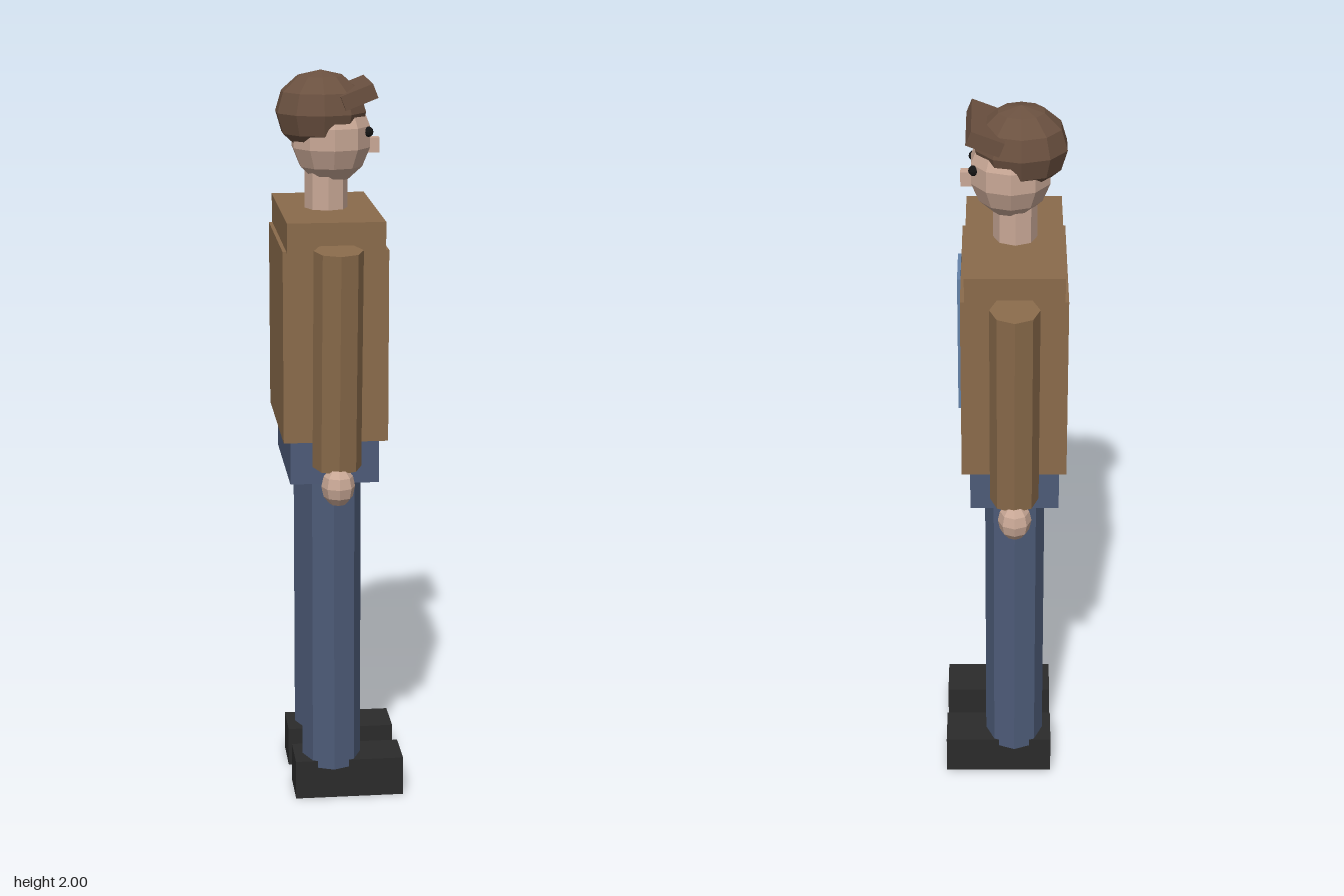
import * as THREE from 'three';

const mat = (name, color) => {
  const m = new THREE.MeshStandardMaterial({ color, flatShading: true });
  m.name = name;
  return m;
};

export function createModel() {
  const model = new THREE.Group();
  model.name = 'standingMan';

  const coat = mat('brown coat', 0x8a6b4b);
  const denim = mat('dark denim', 0x4d5b78);
  const shirt = mat('blue shirt', 0x6482a8);
  const skin = mat('skin', 0xc9a896);
  const capBrown = mat('cap brown', 0x6b5140);
  const black = mat('shoe black', 0x2b2b2b);
  const eyeBlack = mat('eye black', 0x151515);

  const add = (name, geometry, material, x, y, z) => {
    const mesh = new THREE.Mesh(geometry, material);
    mesh.name = name;
    mesh.position.set(x, y, z);
    model.add(mesh);
    return mesh;
  };
  // Box given by its limits along x and y, and its z centre and width
  const box = (name, material, x0, x1, y0, y1, z, width) =>
    add(name, new THREE.BoxGeometry(x1 - x0, y1 - y0, width), material, (x0 + x1) / 2, (y0 + y1) / 2, z);
  const prism = (name, material, r, height, x, y, z) =>
    add(name, new THREE.CylinderGeometry(r, r, height, 8), material, x, y, z);
  const ball = (name, material, rx, ry, rz, x, y, z, sides, rows) =>
    add(name, new THREE.SphereGeometry(1, sides, rows).rotateY(Math.PI / 2).scale(rx, ry, rz), material, x, y, z);

  // Body: the figure faces +x
  box('torso', coat, -0.167, 0.112, 1.04, 1.555, -0.001, 0.453);
  box('shoulderYoke', coat, -0.157, 0.101, 1.553, 1.633, -0.001, 0.496);
  box('shirtPanel', shirt, 0.113, 0.122, 1.157, 1.545, 0, 0.153);
  box('pelvis', denim, -0.148, 0.09, 0.92, 1.045, 0, 0.41);

  // Limbs, mirrored across z
  for (const s of [-1, 1]) {
    const side = s < 0 ? 'left' : 'right';
    prism(side + 'Leg', denim, 0.081, 0.87, -0.03, 0.525, s * 0.12);
    box(side + 'Shoe', black, -0.135, 0.165, 0, 0.11, s * 0.119, 0.128);
    const arm = prism(side + 'Arm', coat, 0.065, 0.59, -0.028, 1.275, s * 0.274);
    arm.rotation.x = s * 0.075;
    ball(side + 'Hand', skin, 0.045, 0.055, 0.046, -0.029, 0.938, s * 0.293, 8, 6);
    ball(side + 'Eye', eyeBlack, 0.013, 0.014, 0.013, 0.078, 1.84, s * 0.047, 8, 6);
  }

  // Head and face
  prism('neck', skin, 0.058, 0.14, -0.03, 1.69, 0);
  ball('head', skin, 0.11, 0.127, 0.11, -0.018, 1.825, 0, 10, 7);
  box('nose', skin, 0.07, 0.112, 1.78, 1.82, 0, 0.026);

  // Cap
  ball('capCrown', capBrown, 0.124, 0.11, 0.116, -0.045, 1.89, 0, 10, 6);
  const brim = add('capBrim', new THREE.BoxGeometry(0.091, 0.04, 0.216), capBrown, 0.047, 1.938, 0);
  brim.rotation.z = 0.37;

  return model;
}
